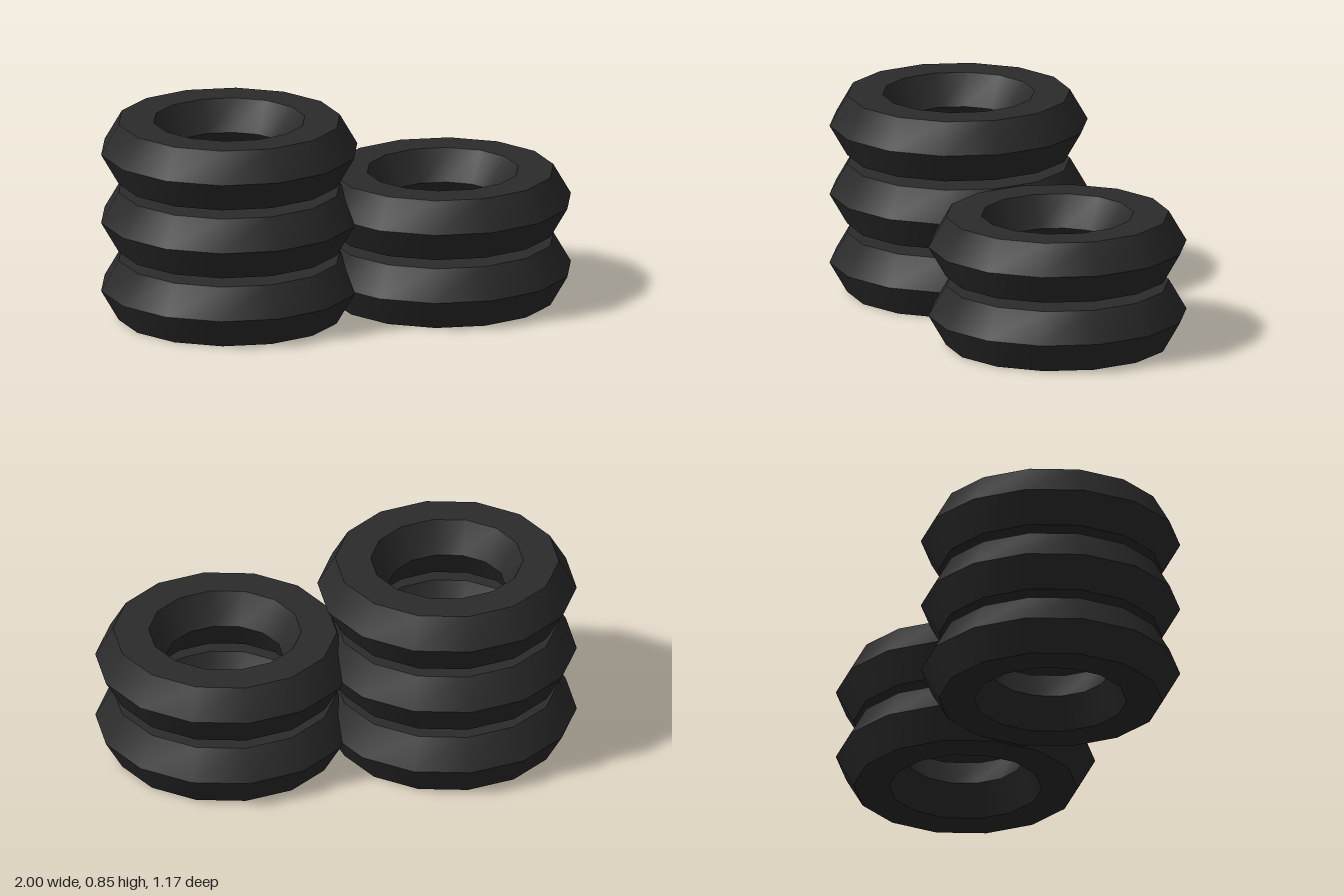
import * as THREE from 'three';
import { toCreasedNormals } from 'three/addons/utils/BufferGeometryUtils.js';

export function createModel() {
  const model = new THREE.Group();
  model.name = 'tyreStacks';

  const rubber = new THREE.MeshStandardMaterial({ color: 0x2b2b2b });
  rubber.name = 'black rubber';

  // One tyre: hexagonal section, 14 sides, smooth around the ring, sharp across it
  const ringRadius = 0.392, tubeRadius = 0.148;
  const halfHeight = tubeRadius * Math.sin(Math.PI / 3);
  const spacing = 0.295;
  const ring = new THREE.TorusGeometry(ringRadius, tubeRadius, 6, 14).rotateX(Math.PI / 2);
  const tyreGeometry = toCreasedNormals(ring, Math.PI / 4.5);

  // A pile of tyres with small gaps between them
  function addStack(name, count, x, z) {
    const stack = new THREE.Group();
    stack.name = name;
    stack.position.set(x, 0, z);
    for (let i = 0; i < count; i++) {
      const tyre = new THREE.Mesh(tyreGeometry, rubber);
      tyre.name = `tyre${i + 1}`;
      tyre.position.y = halfHeight + i * spacing;
      stack.add(tyre);
    }
    model.add(stack);
  }

  addStack('tallStack', 3, -0.46, 0.06);
  addStack('shortStack', 2, 0.46, -0.06);

  return model;
}
